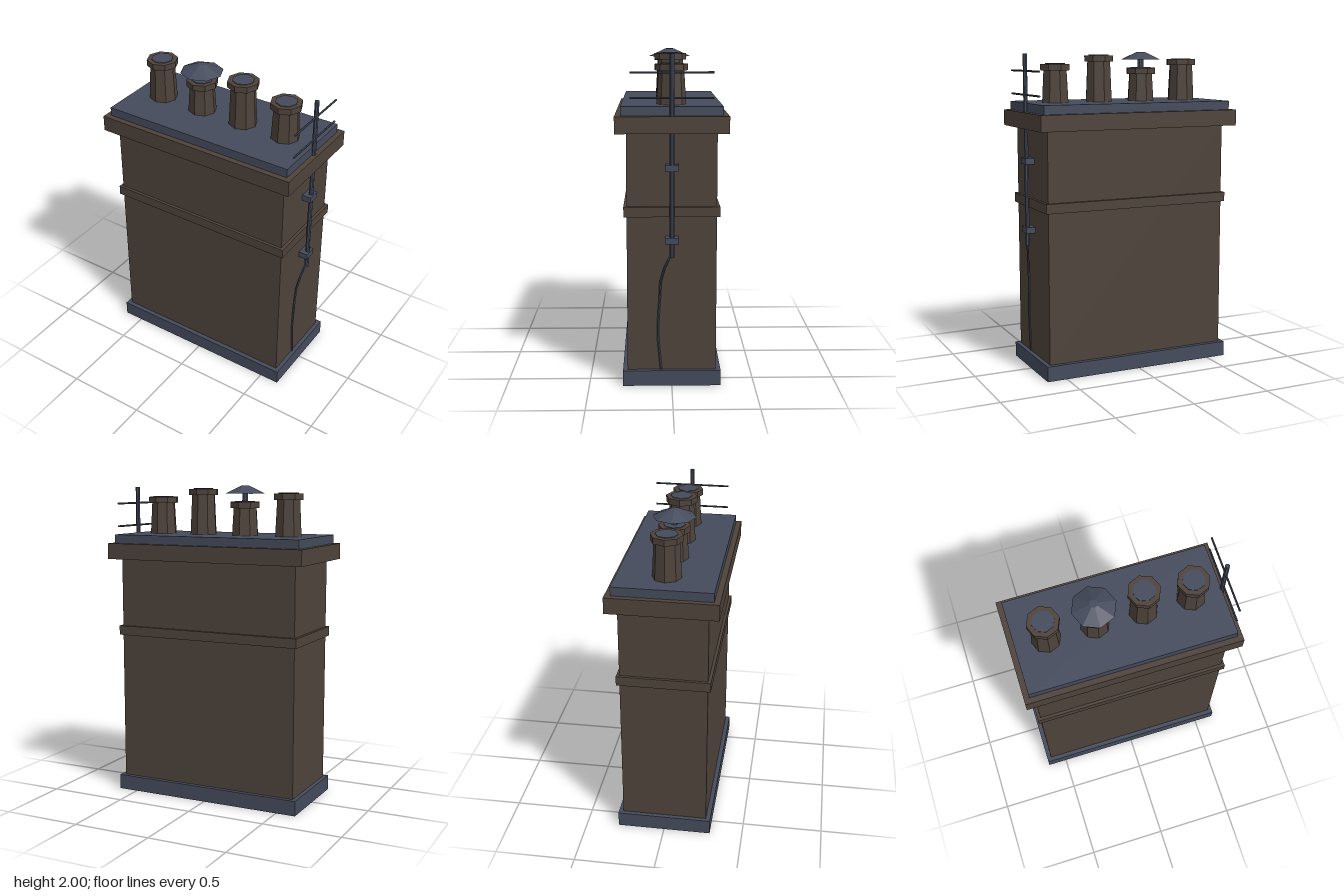
import * as THREE from 'three';

export function createModel() {
  const root = new THREE.Group();
  root.name = 'chimneyStack';
  const brick = new THREE.MeshStandardMaterial({ color: 0x4e433b });
  brick.name = 'sooty brown';
  const slate = new THREE.MeshStandardMaterial({ color: 0x454b5c });
  slate.name = 'slate blue';
  brick.flatShading = slate.flatShading = true;

  function add(name, geometry, material, x, y, z, parent = root) {
    const mesh = new THREE.Mesh(geometry, material);
    mesh.name = name;
    mesh.position.set(x, y, z);
    parent.add(mesh);
    return mesh;
  }
  // Centred block given by half width, half depth and its bottom and top
  const block = (name, hx, hz, y0, y1, material) =>
    add(name, new THREE.BoxGeometry(hx * 2, y1 - y0, hz * 2), material, 0, (y0 + y1) / 2, 0);
  // Upright cylinder between two heights
  const post = (name, rTop, rBottom, y0, y1, sides, material, x, parent) =>
    add(name, new THREE.CylinderGeometry(rTop, rBottom, y1 - y0, sides), material, x, (y0 + y1) / 2, 0, parent);

  // Masonry
  block('base', 0.627, 0.295, 0, 0.095, slate);
  block('stack', 0.6, 0.267, 0.09, 1.54, brick);
  block('band', 0.618, 0.285, 1.04, 1.1, brick);
  block('corbel', 0.665, 0.333, 1.535, 1.635, brick);
  block('cappingSlab', 0.632, 0.298, 1.63, 1.69, slate);

  // Octagonal chimney pots: [x, top height]
  const pots = [[-0.443, 1.957], [-0.148, 1.903], [0.147, 1.982], [0.442, 1.93]];
  pots.forEach(([x, top], i) => {
    const pot = new THREE.Group();
    pot.name = 'chimneyPot' + (i + 1);
    root.add(pot);
    post('potBody', 0.076, 0.088, 1.685, top - 0.03, 8, brick, x, pot);
    post('potRim', 0.097, 0.097, top - 0.042, top - 0.004, 8, brick, x, pot);
    post('potOpening', 0.067, 0.067, top - 0.01, top, 8, slate, x, pot);
  });

  // Rain cowl on the second pot
  post('cowlStem', 0.02, 0.02, 1.9, 1.97, 8, slate, -0.148);
  post('cowlHood', 0.025, 0.132, 1.951, 2, 8, slate, -0.148);

  // Aerial mast, brackets and cross rods
  const mastX = 0.638;
  post('aerialMast', 0.014, 0.014, 0.8, 1.99, 8, slate, mastX);
  for (const y of [0.903, 1.335])
    add('mastBracket', new THREE.BoxGeometry(0.062, 0.038, 0.08), slate, 0.627, y, 0);
  for (const y of [1.74, 1.885]) {
    const rod = add('aerialRod', new THREE.CylinderGeometry(0.006, 0.006, 0.485, 6), slate, mastX, y, 0);
    rod.rotation.x = Math.PI / 2;
  }

  // Cable hanging from the mast down the side wall
  const cable = new THREE.CatmullRomCurve3([
    [0.637, 0.82, 0.005], [0.614, 0.68, 0.062], [0.606, 0.53, 0.073],
    [0.602, 0.335, 0.084], [0.602, 0.09, 0.064],
  ].map((p) => new THREE.Vector3(...p)));
  add('cable', new THREE.TubeGeometry(cable, 8, 0.007, 5), slate, 0, 0, 0);

  return root;
}
